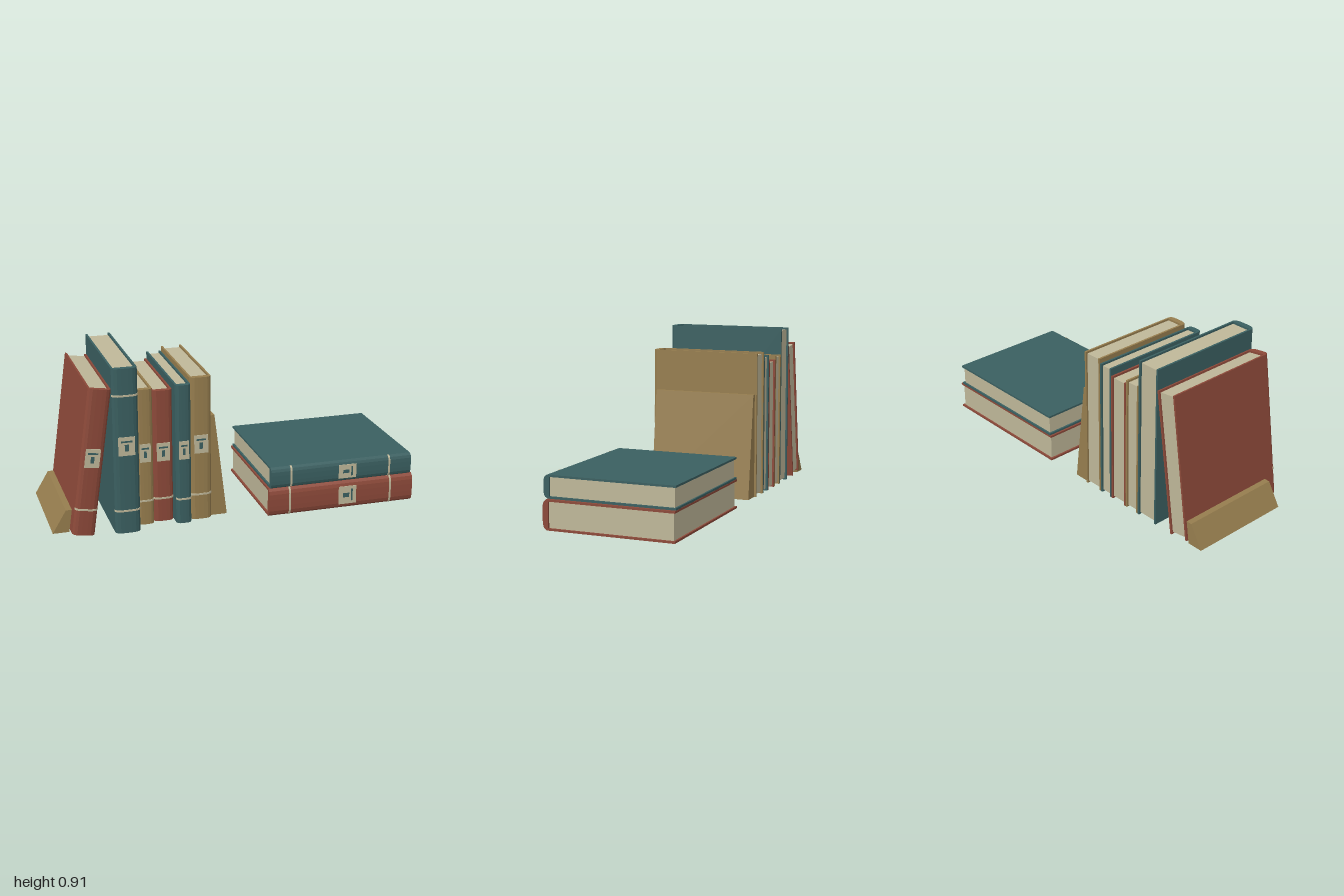
import * as THREE from 'three';

const mat = (name, color) => {
  const m = new THREE.MeshStandardMaterial({ color });
  m.name = name;
  return m;
};

export function createModel() {
  const teal = mat('teal cloth', 0x3a5f60);
  const red = mat('red cloth', 0x8c4939);
  const ochre = mat('ochre', 0x967d4e);
  const cream = mat('cream paper', 0xbfb799);

  const root = new THREE.Group();
  root.name = 'booksAndBookends';

  const BACK = -0.358, BOARD = 0.011, INSET = 0.011, BULGE = 0.021;

  const add = (group, geometry, material, name) => {
    const mesh = new THREE.Mesh(geometry, material);
    mesh.name = name;
    group.add(mesh);
    return mesh;
  };
  const box = (group, w, h, d, x, y, z, material, name) =>
    add(group, new THREE.BoxGeometry(w, h, d), material, name).position.set(x, y, z);

  // Faceted spine cross-section extruded upwards from y0 by the given height
  function spineGeometry(w, zInner, zFront, y0, height) {
    const arc = [[-1, 0], [-0.84, 0.68], [-0.6, 0.94], [-0.25, 1], [0.25, 1], [0.6, 0.94], [0.84, 0.68], [1, 0]];
    const shape = new THREE.Shape();
    shape.moveTo(w / 2, -zInner);
    shape.lineTo(-w / 2, -zInner);
    for (const [u, b] of arc) shape.lineTo(u * w / 2, -(zFront - BULGE + BULGE * b));
    const g = new THREE.ExtrudeGeometry(shape, { depth: height, bevelEnabled: false });
    g.rotateX(-Math.PI / 2);
    g.translate(0, y0, 0);
    return g;
  }

  // Upright book centred on x, standing on y = 0, spine towards +z
  function makeBook(name, w, h, zFront, cloth, bands) {
    const book = new THREE.Group();
    book.name = name;
    const zJoint = zFront - BULGE, zPages = zFront - 0.031;

    // Boards and page block
    for (const s of [-1, 1])
      box(book, BOARD, h, zJoint - BACK, s * (w - BOARD) / 2, h / 2, (zJoint + BACK) / 2, cloth, 'coverBoard');
    const pageBack = BACK + 0.01;
    box(book, w - 2 * BOARD, h - 2 * INSET, zPages - pageBack, 0, h / 2, (zPages + pageBack) / 2, cream, 'pages');

    // Spine and its bands
    add(book, spineGeometry(w, zPages, zFront, 0, h), cloth, 'spine');
    for (const t of bands)
      add(book, spineGeometry(w + 0.003, zJoint, zFront + 0.003, t * h - 0.005, 0.01), cream, 'spineBand');

    // Label with two printed marks
    const lw = w * 0.65, ly = h * 0.538, lh = 0.102;
    box(book, lw, lh, 0.004, 0, ly, zFront + 0.001, cream, 'label');
    box(book, lw * 0.68, 0.009, 0.003, 0, ly + lh * 0.25, zFront + 0.003, teal, 'labelLine');
    box(book, lw * 0.24, 0.036, 0.003, 0, ly - lh * 0.08, zFront + 0.003, teal, 'labelMark');
    root.add(book);
    return book;
  }

  // Upright row: name, left edge, right edge, height, spine front, cloth, bands
  const row = [
    ['tallTealBook', -0.68, -0.545, 0.905, 0.336, teal, [0.14, 0.84]],
    ['thinOchreBook', -0.543, -0.451, 0.758, 0.256, ochre, [0.18]],
    ['uprightRedBook', -0.449, -0.34, 0.738, 0.237, red, [0.18]],
    ['thinTealBook', -0.338, -0.255, 0.776, 0.297, teal, [0.18]],
    ['wideOchreBook', -0.253, -0.136, 0.801, 0.267, ochre, [0.18]],
  ];
  for (const [name, x0, x1, ...rest] of row)
    makeBook(name, x1 - x0, ...rest).position.x = (x0 + x1) / 2;

  // Red book leaning on the row, pivoting on its lower right edge
  const lean = 0.139, leanW = 0.12;
  const leaning = makeBook('leaningRedBook', leanW, 0.8, 0.322, red, [0.18]);
  leaning.rotation.z = -lean;
  leaning.position.set(-0.79 - leanW / 2 * Math.cos(lean), leanW / 2 * Math.sin(lean), 0);

  // Two books lying flat
  const stack = [
    ['lowerRedBook', 0.158, 0.838, 0.162, 0.079, red],
    ['upperTealBook', 0.121, 0.815, 0.171, 0.2195, teal],
  ];
  for (const [name, w, h, x, y, cloth] of stack) {
    const book = makeBook(name, w, h, 0.357, cloth, [0.14, 0.84]);
    book.rotation.z = -Math.PI / 2;
    book.position.set(x, y, 0);
  }

  // Wedge bookends
  function wedge(name, points) {
    const shape = new THREE.Shape(points.map(([x, y]) => new THREE.Vector2(x, y)));
    const g = new THREE.ExtrudeGeometry(shape, { depth: 0.583, bevelEnabled: false });
    g.translate(0, 0, -0.347);
    add(root, g, ochre, name);
  }
  wedge('rightBookend', [[-0.135, 0], [-0.043, 0], [-0.112, 0.575], [-0.135, 0.575]]);
  wedge('leftBookend', [[-1, 0], [-0.912, 0], [-0.894, 0.125], [-0.926, 0.125]]);

  return root;
}
